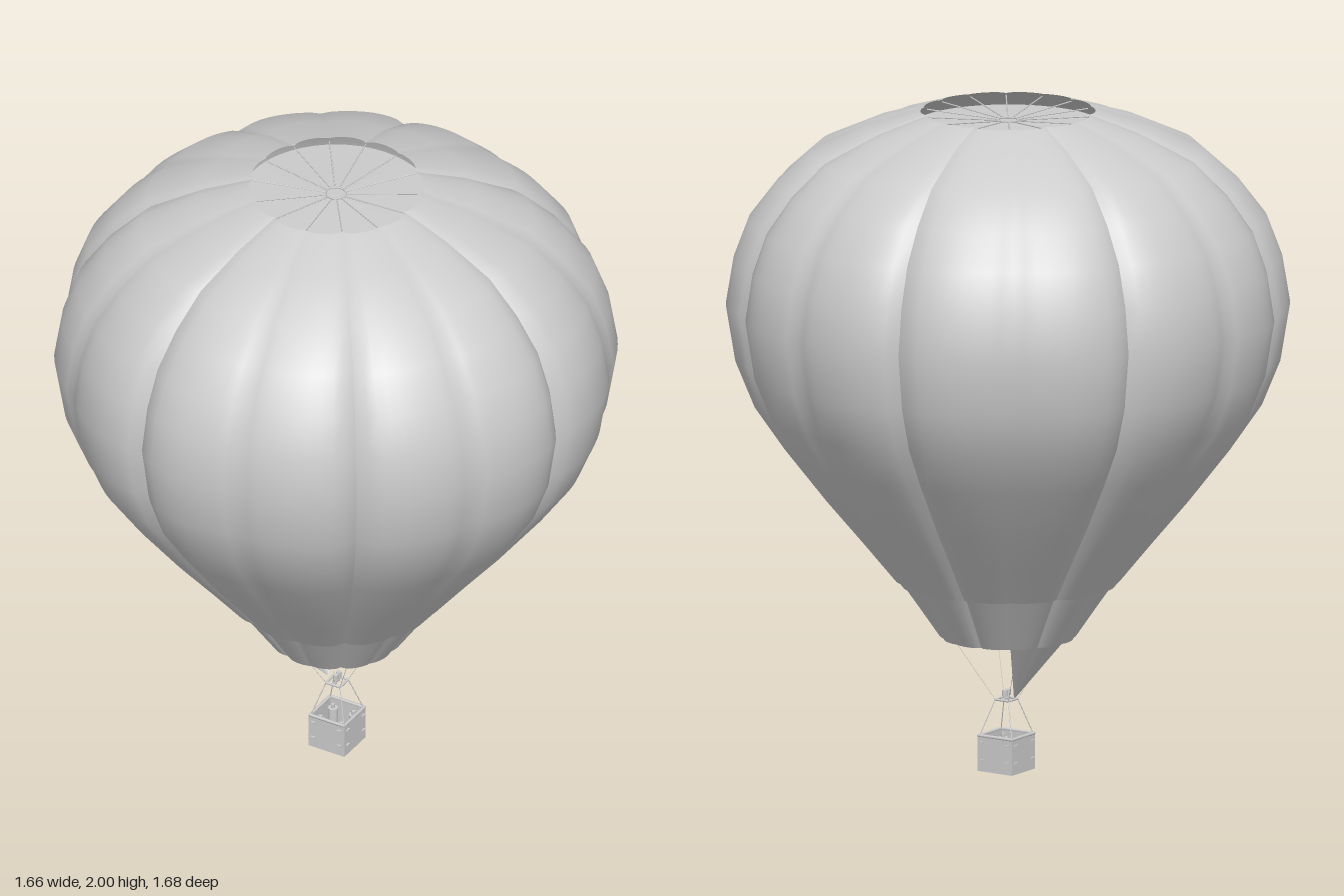
import * as THREE from 'three';

const mat = new THREE.MeshStandardMaterial({ color: 0xcccccc, side: THREE.DoubleSide });
const LOBES = 14, GORES = 7, PHASE = 27 * Math.PI / 180, TURN = 0.26;

function add(parent, geo, name, x = 0, y = 0, z = 0) {
  const m = new THREE.Mesh(geo, mat);
  m.name = name;
  m.position.set(x, y, z);
  parent.add(m);
  return m;
}

// thin rod between two points
function rod(parent, a, b, r, name, sides = 6) {
  const from = new THREE.Vector3(...a), to = new THREE.Vector3(...b);
  const d = to.clone().sub(from);
  const m = add(parent, new THREE.CylinderGeometry(r, r, d.length(), sides), name);
  m.position.copy(from).addScaledVector(d, 0.5);
  m.quaternion.setFromUnitVectors(new THREE.Vector3(0, 1, 0), d.normalize());
  return m;
}

// smooth grid surface: point(i, j) for rows i and columns j, rows running downwards
function sheet(rows, cols, point) {
  const pos = [], idx = [];
  for (let i = 0; i <= rows; i++)
    for (let j = 0; j <= cols; j++) pos.push(...point(i, j));
  for (let i = 0; i < rows; i++)
    for (let j = 0; j < cols; j++) {
      const a = i * (cols + 1) + j, b = a + cols + 1;
      idx.push(a, a + 1, b, a + 1, b + 1, b);
    }
  const g = new THREE.BufferGeometry();
  g.setAttribute('position', new THREE.Float32BufferAttribute(pos, 3));
  g.setIndex(idx);
  g.computeVertexNormals();
  return g;
}

// bulge across one gore: two lobes, deep seams outside and a shallow seam between
function bulge(t) {
  const dip = t > 0.25 && t < 0.75 ? 0.975 : 0.94;
  return dip + (1 - dip) * Math.pow(Math.abs(Math.sin(2 * Math.PI * t)), 0.55);
}

function gores(parent, profile, name) {
  const cols = 20, step = Math.PI * 2 / GORES;
  for (let k = 0; k < GORES; k++) {
    add(parent, sheet(profile.length - 1, cols, (i, j) => {
      const [r, y] = profile[i];
      // columns run against the angle so that the faces look outwards
      const t = 1 - j / cols, a = PHASE + (k + t) * step, rr = r * bulge(t);
      return [rr * Math.cos(a), y, rr * Math.sin(a)];
    }), name);
  }
}

function createEnvelope() {
  const g = new THREE.Group();
  g.name = 'envelope';
  gores(g, [[0.26, 2], [0.42, 1.95], [0.585, 1.875], [0.69, 1.78], [0.77, 1.675], [0.815, 1.555],
    [0.838, 1.415], [0.81, 1.245], [0.755, 1.11], [0.665, 0.98], [0.54, 0.82], [0.43, 0.69],
    [0.335, 0.575]], 'gore');
  gores(g, [[0.328, 0.585], [0.265, 0.495], [0.203, 0.405]], 'skirt');
  return g;
}

// vent panel under the crown opening, with its radial cords and centre ring
function createVent() {
  const g = new THREE.Group();
  g.name = 'crownVent';
  add(g, sheet(3, 84, (i, j) => {
    const a = -j / 84 * Math.PI * 2, r = 0.285 * i / 3;
    return [r * Math.cos(a), 1.968 - 0.012 * i / 3, r * Math.sin(a)];
  }), 'ventPanel');
  for (let k = 0; k < LOBES; k++) {
    const a = PHASE + k / LOBES * Math.PI * 2, c = Math.cos(a), s = Math.sin(a);
    rod(g, [0.03 * c, 1.974, 0.03 * s], [0.245 * c, 1.994, 0.245 * s], 0.002, 'ventCord', 5);
  }
  const ring = add(g, new THREE.TorusGeometry(0.03, 0.003, 6, 24), 'crownRing', 0, 1.974, 0);
  ring.rotation.x = Math.PI / 2;
  return g;
}

// wind scoop: rear part of the mouth drawn down to a point above the burner
function createScoop() {
  const from = -51 * Math.PI / 180, to = -160 * Math.PI / 180;
  const geo = sheet(4, 24, (i, j) => {
    const a = from + (to - from) * j / 24, t = i / 4;
    const r = 0.18 * (1 + 0.025 * Math.abs(Math.sin((a - PHASE) * 7)));
    return [THREE.MathUtils.lerp(r * Math.cos(a), 0.012 + 0.006 * Math.cos(a), t),
      0.41 - 0.185 * t,
      THREE.MathUtils.lerp(r * Math.sin(a), -0.04 + 0.006 * Math.sin(a), t)];
  });
  const m = new THREE.Mesh(geo, mat);
  m.name = 'scoop';
  return m;
}

function createGondola() {
  const g = new THREE.Group();
  g.name = 'gondola';
  const half = 0.0615, h = 0.108, wall = 0.007;
  const corners = [[1, 1], [1, -1], [-1, -1], [-1, 1]];

  // basket floor, walls and padded rim
  add(g, new THREE.BoxGeometry(half * 2, 0.008, half * 2), 'basketFloor', 0, 0.004, 0);
  for (let k = 0; k < 4; k++) {
    const side = new THREE.Group();
    side.name = 'basketSide';
    side.rotation.y = k * Math.PI / 2;
    g.add(side);
    add(side, new THREE.BoxGeometry(half * 2, h, wall), 'basketWall', 0, h / 2, half - wall / 2);
    rod(side, [-half, h, half - 0.003], [half, h, half - 0.003], 0.005, 'basketRim', 8);
    for (const y of [0.035, 0.088])
      for (const x of [-0.045, 0.045])
        add(side, new THREE.BoxGeometry(0.014, 0.006, 0.007), 'handle', x, y, half + 0.002);
  }

  // burner frame, suspension lines and gas cylinders
  const f = 0.024;
  corners.forEach(([x, z], k) => {
    const [nx, nz] = corners[(k + 1) % 4];
    rod(g, [x * f, 0.215, z * f], [nx * f, 0.215, nz * f], 0.0035, 'burnerFrame', 8);
    rod(g, [x * 0.057, h, z * 0.057], [x * f, 0.215, z * f], 0.0016, 'basketRope');
    rod(g, [x * f, 0.215, z * f], [x * 0.115, 0.41, z * 0.115], 0.0008, 'mouthCable', 4);
    add(g, new THREE.CylinderGeometry(0.015, 0.015, 0.08, 16), 'gasCylinder', x * 0.036, 0.048, z * 0.036);
    add(g, new THREE.CylinderGeometry(0.006, 0.006, 0.012, 10), 'gasValve', x * 0.036, 0.094, z * 0.036);
  });

  // twin burner
  rod(g, [-f, 0.217, 0], [f, 0.217, 0], 0.003, 'burnerBar', 8);
  for (const x of [-0.009, 0.009]) {
    add(g, new THREE.CylinderGeometry(0.008, 0.008, 0.018, 14), 'burnerCan', x, 0.235, 0);
    add(g, new THREE.CylinderGeometry(0.004, 0.004, 0.016, 10), 'burnerNozzle', x, 0.219, 0);
  }
  g.position.set(0.015, 0, -0.01);
  g.rotation.y = TURN;
  return g;
}

export function createModel() {
  const model = new THREE.Group();
  model.name = 'hotAirBalloon';
  model.add(createEnvelope(), createVent(), createScoop(), createGondola());
  return model;
}
